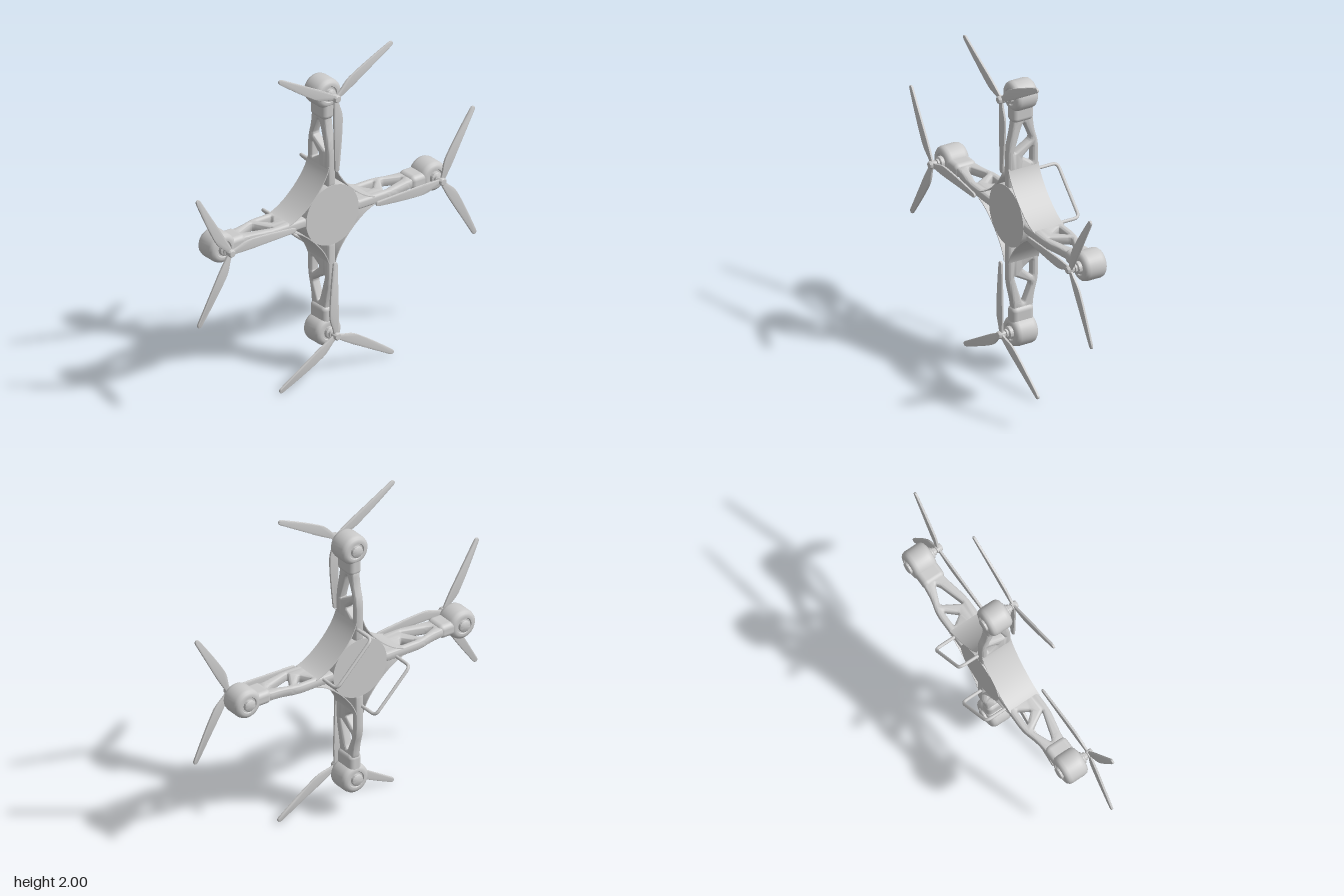
import * as THREE from 'three';
import { toCreasedNormals } from 'three/addons/utils/BufferGeometryUtils.js';
import { RoundedBoxGeometry } from 'three/addons/geometries/RoundedBoxGeometry.js';

const material = new THREE.MeshStandardMaterial({ color: 0xcccccc });
const thinMaterial = new THREE.MeshStandardMaterial({ color: 0xcccccc, side: THREE.DoubleSide });

function add(parent, name, geometry, mat = material) {
  const mesh = new THREE.Mesh(geometry, mat);
  mesh.name = name;
  parent.add(mesh);
  return mesh;
}

// Closed polygon with softened corners, traced into a Shape or Path
function softPolygon(path, points, round) {
  const pts = points.map(([x, y]) => new THREE.Vector2(x, y));
  pts.forEach((p, i) => {
    const prev = pts[(i + pts.length - 1) % pts.length];
    const next = pts[(i + 1) % pts.length];
    const a = p.clone().lerp(prev, Math.min(0.45, round / p.distanceTo(prev)));
    const b = p.clone().lerp(next, Math.min(0.45, round / p.distanceTo(next)));
    if (i === 0) path.moveTo(a.x, a.y);
    else path.lineTo(a.x, a.y);
    path.quadraticCurveTo(p.x, p.y, b.x, b.y);
  });
  path.closePath();
  return path;
}

// Truss arm: drawn as radius against depth, with two openings
function armGeometry() {
  const shape = softPolygon(new THREE.Shape(), [
    [0.15, -0.055], [0.43, -0.057], [0.53, -0.027], [0.64, -0.018],
    [0.64, 0.1], [0.56, 0.108], [0.42, 0.138], [0.15, 0.138],
  ], 0.05);
  shape.holes.push(
    softPolygon(new THREE.Path(), [[0.385, 0.108], [0.46, -0.018], [0.585, 0.035], [0.56, 0.055]], 0.025),
    softPolygon(new THREE.Path(), [[0.305, -0.022], [0.425, -0.022], [0.355, 0.055]], 0.02),
  );
  const bevel = 0.015;
  const geo = new THREE.ExtrudeGeometry(shape, {
    depth: 0.026, curveSegments: 6, bevelEnabled: true,
    bevelSize: bevel, bevelOffset: -bevel + 0.003, bevelThickness: bevel, bevelSegments: 4,
  });
  geo.translate(0, 0, -0.013).rotateX(Math.PI / 2);
  return toCreasedNormals(geo, 0.8);
}

// Motor, shaft and hub turned around the depth axis
function motorGeometry() {
  const profile = [
    [0, -0.041], [0.03, -0.041], [0.036, -0.036], [0.036, -0.02], [0.046, -0.02], [0.05, -0.027],
    [0.062, -0.028], [0.076, -0.023], [0.086, -0.012], [0.09, 0.004],
    [0.09, 0.088], [0.086, 0.104], [0.076, 0.115], [0.062, 0.12],
    [0.05, 0.119], [0.046, 0.112], [0.036, 0.112], [0.036, 0.132], [0.031, 0.137],
    [0.025, 0.138], [0.025, 0.15], [0.018, 0.152], [0.018, 0.16],
    [0.023, 0.162], [0.023, 0.192], [0.018, 0.199], [0, 0.2],
  ].map(([r, z]) => new THREE.Vector2(r, z));
  return toCreasedNormals(new THREE.LatheGeometry(profile, 40).rotateX(Math.PI / 2), 0.7);
}

// Flat propeller blade, fuller along one edge
function bladeGeometry() {
  const s = new THREE.Shape();
  s.moveTo(0, -0.015);
  s.bezierCurveTo(0.06, -0.015, 0.1, -0.022, 0.2, -0.018);
  s.lineTo(0.45, -0.014);
  s.bezierCurveTo(0.472, -0.012, 0.475, 0.012, 0.452, 0.017);
  s.bezierCurveTo(0.35, 0.03, 0.22, 0.043, 0.14, 0.044);
  s.bezierCurveTo(0.08, 0.044, 0.06, 0.017, 0, 0.015);
  const geo = new THREE.ExtrudeGeometry(s, {
    depth: 0.006, curveSegments: 10, bevelEnabled: true,
    bevelSize: 0.004, bevelOffset: -0.004, bevelThickness: 0.004, bevelSegments: 2,
  });
  return toCreasedNormals(geo.translate(0, 0, 0.172), 0.6);
}

// Thin curved panel bridging two neighbouring arms
function panelGeometry() {
  const v = (x, y) => new THREE.Vector2(x, y);
  const curve = (o) => new THREE.CubicBezierCurve(
    v(0.305, 0.025 + o), v(0.2 + o, 0.05 + o), v(0.05 + o, 0.2 + o), v(0.025 + o, 0.305)).getPoints(24);
  const shape = new THREE.Shape([...curve(0), ...curve(-0.005).reverse()]);
  const geo = new THREE.ExtrudeGeometry(shape, { depth: 0.2, bevelEnabled: false });
  return toCreasedNormals(geo.translate(0, 0, -0.058), 0.6);
}

// Landing leg: a bent wire loop standing off the back
function legGeometry() {
  const a = 0.256, b = 0.014, back = -0.188, bend = 0.035;
  const A = new THREE.Vector3(a, b, back), B = new THREE.Vector3(b, a, back);
  const along = B.clone().sub(A).normalize().multiplyScalar(bend);
  const rise = new THREE.Vector3(0, 0, bend);
  const path = new THREE.CurvePath();
  const a1 = A.clone().add(rise), a2 = A.clone().add(along);
  const b1 = B.clone().sub(along), b2 = B.clone().add(rise);
  path.add(new THREE.LineCurve3(new THREE.Vector3(a, b, -0.03), a1));
  path.add(new THREE.QuadraticBezierCurve3(a1, A, a2));
  path.add(new THREE.LineCurve3(a2, b1));
  path.add(new THREE.QuadraticBezierCurve3(b1, B, b2));
  path.add(new THREE.LineCurve3(b2, new THREE.Vector3(b, a, -0.03)));
  return new THREE.TubeGeometry(path, 80, 0.01, 10, false);
}

export function createModel() {
  const model = new THREE.Group();
  model.name = 'quadcopter';
  const craft = new THREE.Group();
  craft.name = 'airframe';
  craft.position.y = 1;
  model.add(craft);

  // Central hub
  const hub = add(craft, 'centralHub', new THREE.CylinderGeometry(0.187, 0.187, 0.2, 64).rotateX(Math.PI / 2));
  hub.position.z = 0.042;

  const arm = armGeometry(), motor = motorGeometry(), blade = bladeGeometry();
  const panel = panelGeometry(), leg = legGeometry();
  const collar = new RoundedBoxGeometry(0.13, 0.085, 0.142, 4, 0.03);

  for (let i = 0; i < 4; i++) {
    const quarter = new THREE.Group();
    quarter.name = 'quarter' + (i + 1);
    quarter.rotation.z = (i * Math.PI) / 2;
    craft.add(quarter);

    add(quarter, 'arm', arm);
    add(quarter, 'motorCollar', collar).position.set(0.655, 0, 0.046);
    add(quarter, 'sidePanel', panel, thinMaterial);
    // Legs sit on two opposite quarters
    if (i % 2 === 0) add(quarter, 'landingLeg', leg, thinMaterial);

    const rotor = new THREE.Group();
    rotor.name = 'rotor';
    rotor.position.x = 0.753;
    quarter.add(rotor);
    add(rotor, 'motor', motor);
    // One blade points back to the hub
    for (let k = 0; k < 3; k++) {
      add(rotor, 'blade', blade).rotation.z = Math.PI + 0.01 + (k * Math.PI * 2) / 3;
    }
  }
  return model;
}
